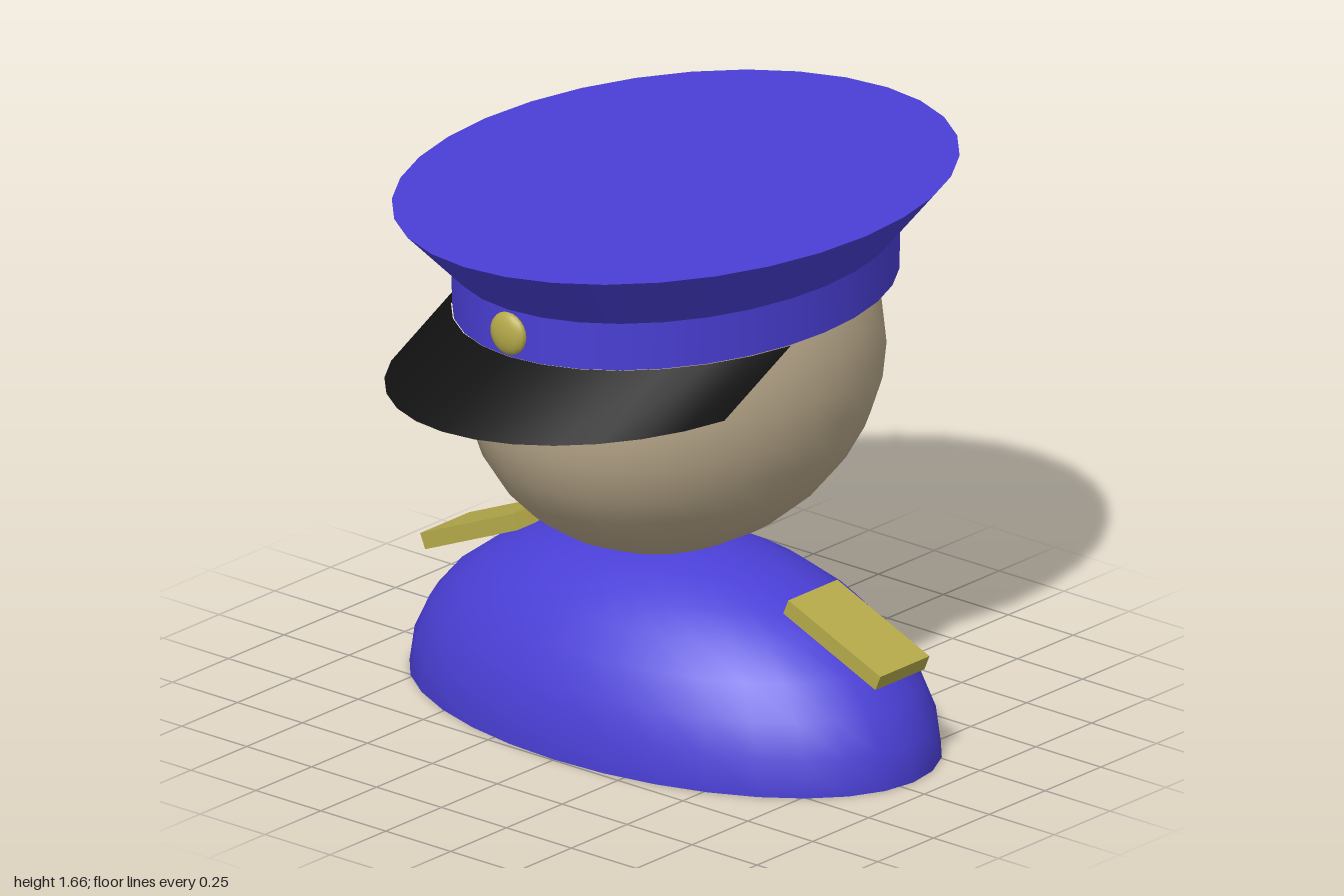
import * as THREE from 'three';

const SEG = 32;
const CZ = -0.05; // shared z centre of body, head and cap

const paint = (color, side = THREE.FrontSide) => new THREE.MeshStandardMaterial({ color, side });

export function createModel() {
  const model = new THREE.Group();
  const blue = paint(0x4a3fd6);
  const blueShell = paint(0x4a3fd6, THREE.DoubleSide);
  const skin = paint(0xb8a78a);
  const gold = paint(0xb5aa4a);
  const black = paint(0x111111, THREE.DoubleSide);

  const add = (name, geometry, material, x = 0, y = 0, z = CZ) => {
    const mesh = new THREE.Mesh(geometry, material);
    mesh.name = name;
    mesh.position.set(x, y, z);
    model.add(mesh);
    return mesh;
  };

  // Open elliptical ring: each rim is [x radius, z radius]
  const ring = (top, bottom, height, start = 0, length = Math.PI * 2, segments = SEG) => {
    const g = new THREE.CylinderGeometry(1, 1, height, segments, 1, true, start, length);
    const p = g.attributes.position;
    for (let i = 0; i < p.count; i++) {
      const [rx, rz] = p.getY(i) > 0 ? top : bottom;
      p.setX(i, p.getX(i) * rx);
      p.setZ(i, p.getZ(i) * rz);
    }
    // Slope-aware smooth normals, also seamless where the ring closes
    const n = g.attributes.normal;
    for (let i = 0; i < p.count; i++) {
      const [rx, rz] = p.getY(i) > 0 ? top : bottom;
      const s = p.getX(i) / rx, c = p.getZ(i) / rz;
      const slope = ((bottom[0] - top[0]) * rz * s * s + (bottom[1] - top[1]) * rx * c * c) / height;
      const v = new THREE.Vector3(s * rz, slope, c * rx).normalize();
      n.setXYZ(i, v.x, v.y, v.z);
    }
    return g;
  };

  // Shoulders: half ellipsoid closed by a flat base
  const dome = new THREE.SphereGeometry(1, SEG, 8, 0, Math.PI * 2, 0, Math.PI / 2);
  add('shoulders', dome.scale(0.915, 0.56, 0.545), blue);
  const base = new THREE.CircleGeometry(1, SEG).rotateX(Math.PI / 2);
  add('shouldersBase', base.scale(0.915, 1, 0.545), blue);

  // Head
  add('head', new THREE.SphereGeometry(1, SEG, 16).scale(0.543, 0.563, 0.705), skin, 0, 1.098);

  // Cap: upright band, flaring crown and flat top
  const bandRim = [0.58, 0.75], crownRim = [0.73, 0.95];
  add('capBand', ring(bandRim, [0.575, 0.748], 0.147), blueShell, 0, 1.3985);
  add('capCrown', ring(crownRim, bandRim, 0.193), blueShell, 0, 1.5685);
  const top = new THREE.CircleGeometry(1, SEG).rotateX(-Math.PI / 2);
  add('capTop', top.scale(crownRim[0], 1, crownRim[1]), blueShell, 0, 1.665);

  // Visor: front arc of the band, sheared forward towards its lower edge
  const half = Math.PI * 7 / 16;
  const visor = ring(bandRim, bandRim, 0.147, -half, half * 2, 14);
  const vp = visor.attributes.position;
  for (let i = 0; i < vp.count; i++) if (vp.getY(i) < 0) vp.setZ(i, vp.getZ(i) + 0.298);
  visor.computeVertexNormals();
  add('visor', visor, black, 0, 1.2515);

  // Badge: flattened button on the band
  add('badge', new THREE.SphereGeometry(1, 16, 12).scale(0.066, 0.066, 0.027), gold, 0, 1.398, 0.7);

  // Epaulettes
  for (const side of [-1, 1]) {
    const name = side > 0 ? 'leftEpaulette' : 'rightEpaulette';
    const strap = add(name, new THREE.BoxGeometry(0.385, 0.05, 0.22), gold, side * 0.699, 0.409, -0.046);
    strap.rotation.z = -side * 0.4;
  }

  return model;
}
